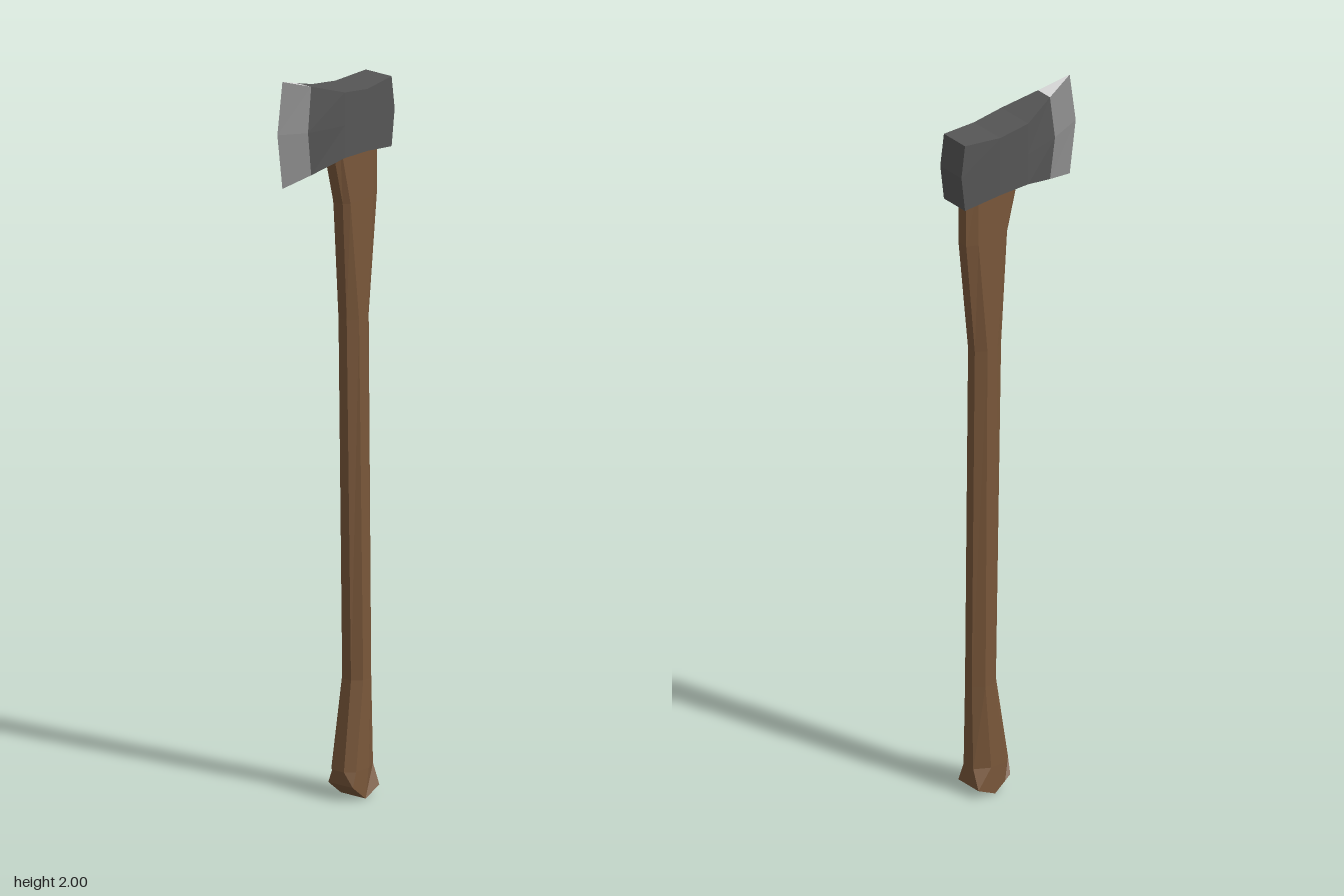
import * as THREE from 'three';

// Builds a flat-faced mesh from polygons whose corners run counter-clockwise seen from outside
function facetMesh(name, polygons, material) {
  const pos = [];
  for (const p of polygons)
    for (let i = 1; i < p.length - 1; i++) pos.push(...p[0], ...p[i], ...p[i + 1]);
  const geometry = new THREE.BufferGeometry();
  geometry.setAttribute('position', new THREE.Float32BufferAttribute(pos, 3));
  geometry.computeVertexNormals();
  const mesh = new THREE.Mesh(geometry, material);
  mesh.name = name;
  return mesh;
}

function makeMaterial(name, color) {
  const m = new THREE.MeshStandardMaterial({ color, flatShading: true });
  m.name = name;
  return m;
}

// Handle: chamfered eight-sided sections, bottom to top
function createHandle(material) {
  // y, front z, side front z, side back z, back z, half width, half width of front/back flat
  const sections = [
    [0.08, -0.035, -0.058, -0.108, -0.15, 0.042, 0.02],
    [0.32, -0.07, -0.093, -0.122, -0.15, 0.036, 0.014],
    [1.3, -0.053, -0.08, -0.113, -0.14, 0.033, 0.014],
    [1.62, -0.035, -0.05, -0.14, -0.17, 0.03, 0.016],
    [1.8, 0.01, -0.01, -0.14, -0.17, 0.028, 0.016],
  ];
  const rings = sections.map(([y, f, a, b, k, w, e]) => [
    [-e, y, f], [e, y, f], [w, y, a], [w, y, b], [e, y, k], [-e, y, k], [-w, y, b], [-w, y, a],
  ]);
  // Ridged butt end
  const w = 0.042;
  const front = [0.04, -0.045], side = [0.026, -0.062], ridge = [0, -0.095], back = [0.025, -0.15];
  const butt = [
    [-w, ...front], [w, ...front], [w, ...side], [w, ...ridge],
    [w, ...back], [-w, ...back], [-w, ...ridge], [-w, ...side],
  ];
  rings.unshift(butt);

  const faces = [];
  for (let r = 0; r < rings.length - 1; r++)
    for (let i = 0; i < 8; i++) {
      const j = (i + 1) % 8;
      faces.push([rings[r][i], rings[r][j], rings[r + 1][j], rings[r + 1][i]]);
    }
  for (const strip of [[7, 2, 1, 0], [6, 3, 2, 7], [5, 4, 3, 6]]) faces.push(strip.map(i => butt[i]));
  faces.push(rings[rings.length - 1]);
  return facetMesh('handle', faces, material);
}

// Head: stations from cutting edge to poll, each with bottom, middle and top points
function createHead(steel, edgeSteel, brightSteel) {
  // z, y, half width
  const stations = [
    [[0.185, 1.71, 0], [0.205, 1.86, 0], [0.185, 2.0, 0]],
    [[0.1, 1.732, 0.025], [0.115, 1.85, 0.027], [0.1, 1.972, 0.025]],
    [[0.003, 1.762, 0.056], [0.003, 1.85, 0.056], [0.003, 1.94, 0.056]],
    [[-0.088, 1.76, 0.055], [-0.088, 1.845, 0.055], [-0.088, 1.928, 0.055]],
    [[-0.196, 1.745, 0.044], [-0.208, 1.845, 0.044], [-0.196, 1.935, 0.044]],
  ];
  const point = (s, row, sign) => {
    const [z, y, w] = stations[s][row];
    return [sign * w, y, z];
  };
  const body = [], bevel = [], bevelTop = [];
  for (let s = 0; s < stations.length - 1; s++) {
    const sides = s === 0 ? bevel : body;
    for (let r = 0; r < 2; r++) {
      const quad = sign => [point(s, r, sign), point(s + 1, r, sign), point(s + 1, r + 1, sign), point(s, r + 1, sign)];
      sides.push(quad(1), quad(-1).reverse());
    }
    const across = row => s === 0
      ? [point(0, row, 1), point(1, row, 1), point(1, row, -1)]
      : [point(s, row, -1), point(s, row, 1), point(s + 1, row, 1), point(s + 1, row, -1)];
    (s === 0 ? bevelTop : body).push(across(2));
    body.push(across(0).reverse());
  }
  // Poll at the back
  for (let r = 0; r < 2; r++)
    body.push([point(4, r, 1), point(4, r, -1), point(4, r + 1, -1), point(4, r + 1, 1)]);

  const head = new THREE.Group();
  head.name = 'axeHead';
  head.add(
    facetMesh('headBody', body, steel),
    facetMesh('cuttingBevel', bevel, edgeSteel),
    facetMesh('bevelTop', bevelTop, brightSteel),
  );
  return head;
}

export function createModel() {
  const group = new THREE.Group();
  group.name = 'axe';
  group.add(
    createHandle(makeMaterial('wood', 0x79573a)),
    createHead(
      makeMaterial('darkSteel', 0x565656),
      makeMaterial('edgeSteel', 0x8e8e8e),
      makeMaterial('brightSteel', 0xdedede),
    ),
  );
  return group;
}
